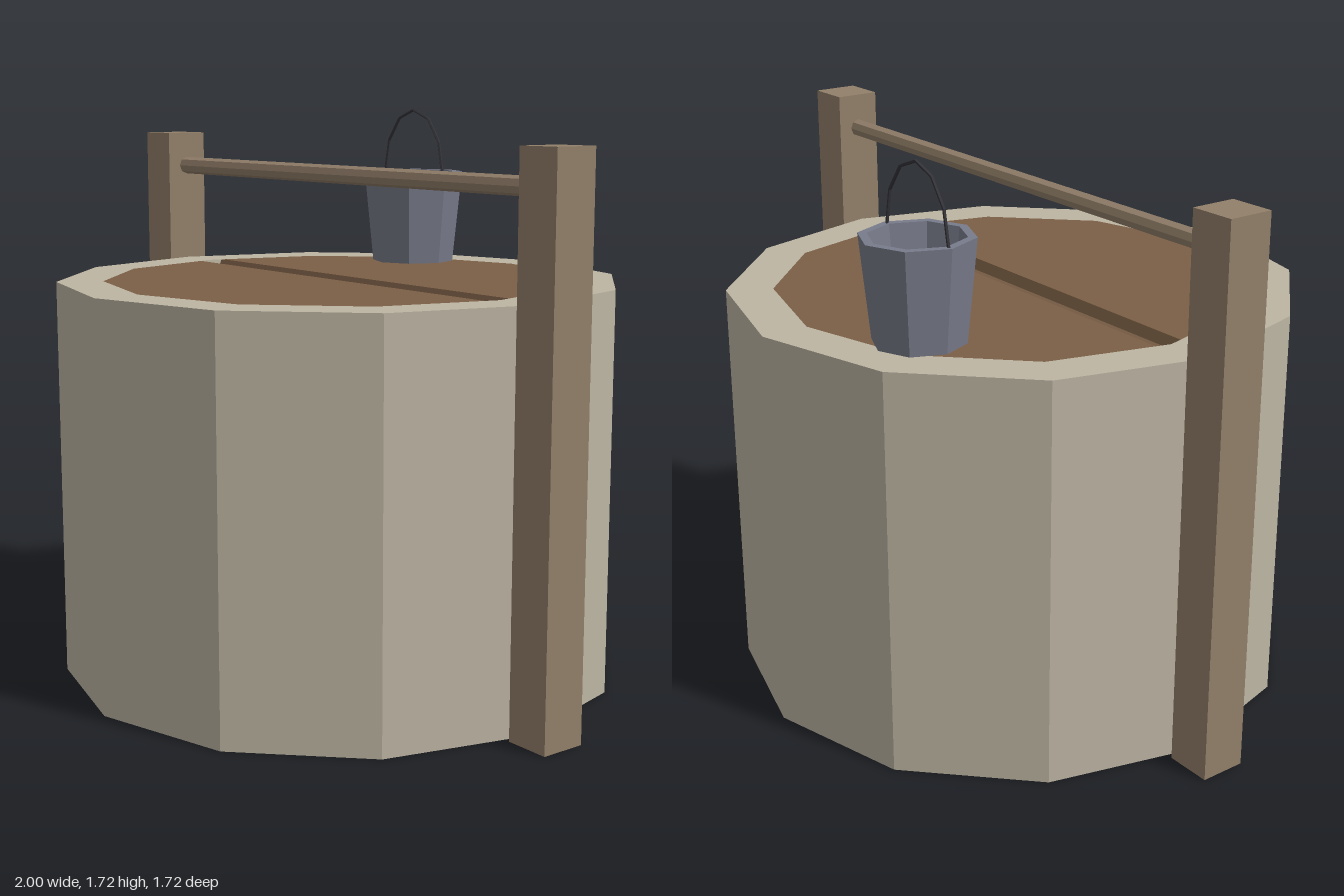
import * as THREE from 'three';

const mat = (name, color, double) => {
  const m = new THREE.MeshStandardMaterial({ color, flatShading: true, side: double ? THREE.DoubleSide : THREE.FrontSide });
  m.name = name;
  return m;
};

export function createModel() {
  const group = new THREE.Group();
  const stone = mat('stone', 0xbdb5a3, true);
  const wood = mat('wood', 0x927f69);
  const soil = mat('soil', 0x7b5f46, true);
  const metal = mat('metal', 0x787b8a);
  const wire = mat('wire', 0x34343a);

  const add = (name, geometry, material, x = 0, y = 0, z = 0) => {
    const mesh = new THREE.Mesh(geometry, material);
    mesh.name = name;
    mesh.position.set(x, y, z);
    group.add(mesh);
    return mesh;
  };

  const top = 1.215, outer = 0.86, inner = 0.72, sides = 12, groove = 0.045;

  // Twelve-sided wall, open below, with a flat rim
  add('wall', new THREE.CylinderGeometry(outer, outer, top, sides, 1, true), stone, 0, top / 2);
  add('rim', new THREE.RingGeometry(inner, outer, sides, 1).rotateX(-Math.PI / 2), stone, 0, top);

  // Two halves of the soil with a shallow channel between them
  const edge = inner - groove * Math.tan(Math.PI / 12);
  const points = [new THREE.Vector2(edge, groove)];
  for (let i = 1; i < 6; i++) {
    const a = i * Math.PI / 6;
    points.push(new THREE.Vector2(inner * Math.cos(a), inner * Math.sin(a)));
  }
  points.push(new THREE.Vector2(-edge, groove));
  const half = new THREE.ShapeGeometry(new THREE.Shape(points)).rotateX(-Math.PI / 2);
  add('soilBack', half, soil, 0, top);
  add('soilFront', half, soil, 0, top).rotation.y = Math.PI;
  add('channel', new THREE.CylinderGeometry(groove, groove, inner * 2, 4, 1, true, Math.PI, Math.PI)
    .rotateZ(Math.PI / 2), soil, 0, top);

  // Posts and channel ends, mirrored left and right
  for (const [side, s] of [['left', 1], ['right', -1]]) {
    add(side + 'Post', new THREE.BoxGeometry(0.14, 1.64, 0.14), wood, s * 0.93, 0.82);
    add(side + 'ChannelEnd', new THREE.CircleGeometry(groove, 4, Math.PI, Math.PI)
      .rotateY(-s * Math.PI / 2), stone, s * inner, top);
  }

  // Crossbar between the posts
  add('crossbar', new THREE.CylinderGeometry(0.028, 0.028, 1.72, 8).rotateZ(Math.PI / 2), wood, 0, 1.53);

  // Hollow eight-sided bucket standing on the rim
  const profile = [[0, 0], [0.134, 0], [0.164, 0.3], [0.138, 0.3], [0.11, 0.03], [0, 0.03]]
    .map(([r, y]) => new THREE.Vector2(r, y));
  add('bucket', new THREE.LatheGeometry(profile, 8), metal, -0.29, top + 0.001, -0.535);

  // Wire handle made of six straight pieces
  const path = new THREE.CurvePath();
  const arc = i => new THREE.Vector3(-0.148 * Math.cos(i * Math.PI / 6), 0.205 * Math.sin(i * Math.PI / 6), 0);
  for (let i = 0; i < 6; i++) path.add(new THREE.LineCurve3(arc(i), arc(i + 1)));
  add('bucketHandle', new THREE.TubeGeometry(path, 48, 0.005, 5), wire, -0.29, 1.513, -0.535);

  return group;
}
